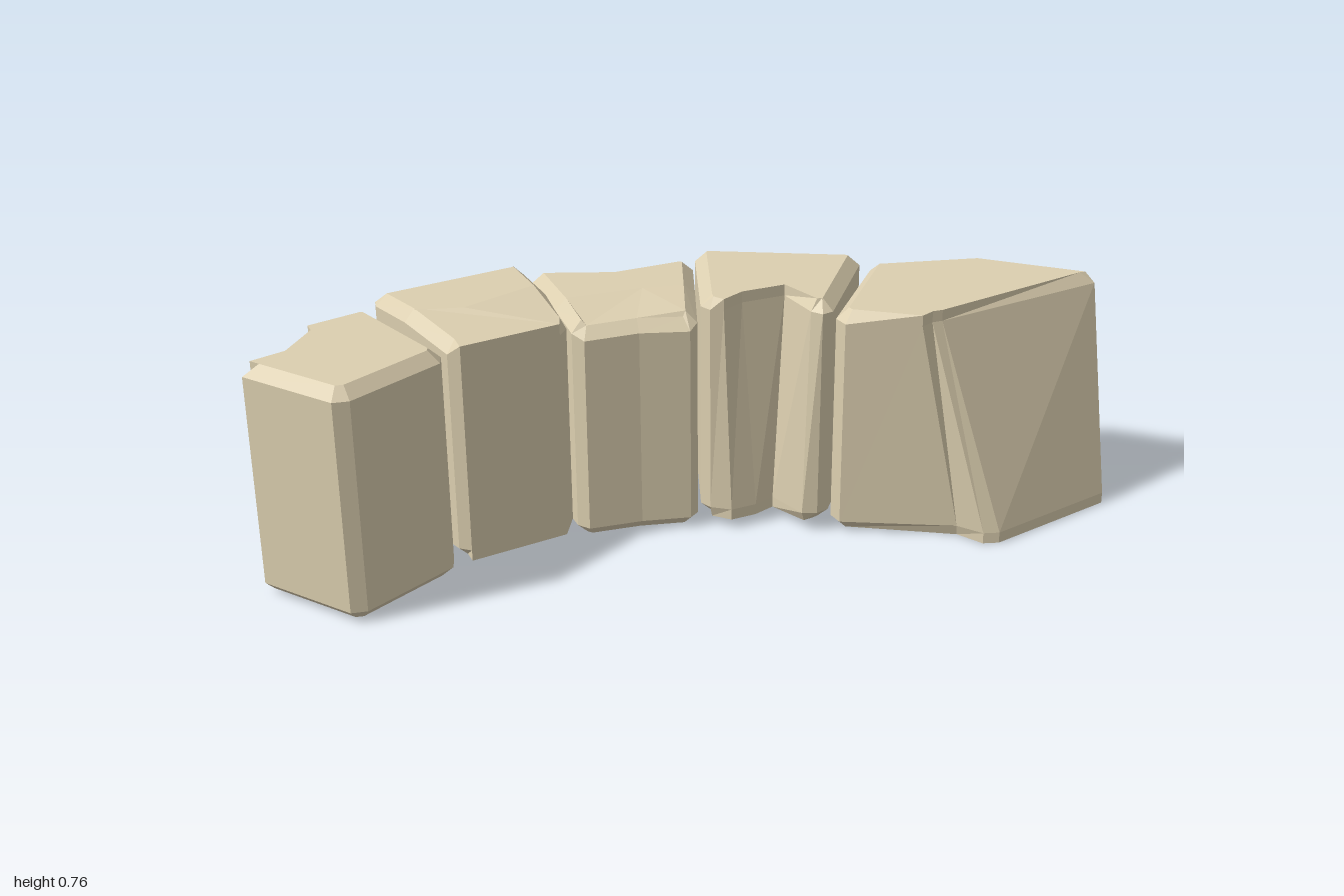
import * as THREE from 'three';

const material = new THREE.MeshStandardMaterial({ color: 0xdccfb0, flatShading: true, side: THREE.DoubleSide });
const BEVEL = 0.035;

// Plan points are [x, z, inset scale = 1, drop of the top = 0], anticlockwise from above.
function ring(outline, y, bevel, useDrop) {
  const n = outline.length;
  const inward = (a, b) => {
    const d = Math.hypot(b[0] - a[0], b[1] - a[1]) || 1;
    return [(b[1] - a[1]) / d, -(b[0] - a[0]) / d];
  };
  return outline.map((p, i) => {
    const [x, z, scale = 1, drop = 0] = p;
    const a = inward(outline[(i + n - 1) % n], p);
    const b = inward(p, outline[(i + 1) % n]);
    const m = bevel * scale / Math.max(0.6, 1 + a[0] * b[0] + a[1] * b[1]);
    return new THREE.Vector3(x + m * (a[0] + b[0]), y - (useDrop ? drop : 0), z + m * (a[1] + b[1]));
  });
}

// Bevelled stone lofted between a bottom and a top plan. A ridge [from, to, points]
// splits the top into a level part and a worn part.
function stone(name, y0, y1, bottom, top = bottom, ridge = null) {
  const rings = [
    ring(bottom, y0, BEVEL), ring(bottom, y0 + BEVEL, 0),
    ring(top, y1 - BEVEL, 0, true), ring(top, y1, BEVEL, true),
  ];
  const verts = [];
  const tri = (...points) => points.forEach((p) => verts.push(p.x, p.y, p.z));
  const cap = (points, up) => {
    const flat = points.map((p) => new THREE.Vector2(p.x, -p.z));
    THREE.ShapeUtils.triangulateShape(flat, []).forEach(([a, b, c]) => {
      const area = THREE.ShapeUtils.area([flat[a], flat[b], flat[c]]);
      if ((area > 0) === up) tri(points[a], points[b], points[c]);
      else tri(points[a], points[c], points[b]);
    });
  };
  for (let r = 0; r < 3; r++) {
    for (let i = 0; i < bottom.length; i++) {
      const j = (i + 1) % bottom.length;
      tri(rings[r][i], rings[r][j], rings[r + 1][j]);
      tri(rings[r][i], rings[r + 1][j], rings[r + 1][i]);
    }
  }
  cap(rings[0], false);
  if (ridge) {
    const [from, to, points] = ridge;
    const line = points.map(([x, z]) => new THREE.Vector3(x, y1, z));
    cap([...rings[3].slice(from, to + 1), ...line.slice().reverse()], true);
    cap([...rings[3].slice(to), ...rings[3].slice(0, from + 1), ...line], true);
  } else cap(rings[3], true);
  const geometry = new THREE.BufferGeometry();
  geometry.setAttribute('position', new THREE.Float32BufferAttribute(verts, 3));
  geometry.computeVertexNormals();
  const mesh = new THREE.Mesh(geometry, material);
  mesh.name = name;
  return mesh;
}

export function createModel() {
  const group = new THREE.Group();
  group.name = 'curvedStoneWall';

  // front end, with a broken outer side
  group.add(stone('frontEndStone', 0, 0.73, [
    [-0.92, 1, 1], [-0.595, 1], [-0.56, 0.965], [-0.51, 0.64], [-0.535, 0.605],
    [-0.89, 0.49], [-0.925, 0.51], [-0.955, 0.69, 0], [-0.925, 0.71, 0], [-0.885, 0.86, 0], [-0.92, 0.965, 0],
  ]));

  // second stone, with its top chipped toward the inner side
  group.add(stone('chippedTopStone', 0.035, 0.765, [
    [-0.905, 0.45], [-0.88, 0.475], [-0.73, 0.525], [-0.525, 0.59, 1, 0.03], [-0.485, 0.58, 0, 0.035],
    [-0.34, 0.3, 0, 0.035], [-0.345, 0.26, 0.5, 0.03], [-0.51, 0.135], [-0.66, 0.04], [-0.69, 0.03],
  ], undefined, [2, 7, [[-0.71, 0.5], [-0.6, 0.41], [-0.64, 0.25]]]));

  // third stone, worn hollow along the inner edge
  group.add(stone('wornStone', 0, 0.73, [
    [-0.655, -0.02], [-0.65, 0.015], [-0.46, 0.155], [-0.345, 0.235, 1, 0.02], [-0.3, 0.235, 1, 0.035],
    [-0.19, 0.11, 1, 0.03], [-0.075, 0.01, 1, 0.035], [-0.075, -0.03, 1, 0.02], [-0.17, -0.17],
    [-0.285, -0.34], [-0.33, -0.345], [-0.46, -0.15],
  ], undefined, [2, 8, [[-0.4, 0.03], [-0.29, -0.06]]]));

  // fourth stone, with a notch in the inner face that shifts toward the foot
  const outer = [[0.175, -0.585], [0.14, -0.6], [-0.28, -0.385], [-0.28, -0.345]];
  group.add(stone('notchedStone', 0.03, 0.76, [
    ...outer, [-0.07, -0.04], [-0.03, -0.03, 0.3], [0.035, -0.05, 0], [0.08, -0.12, 0],
    [0.1, -0.19, 0], [0.23, -0.145, 0.5], [0.27, -0.17], [0.285, -0.21],
  ], [
    ...outer, [-0.07, -0.04], [-0.03, -0.03, 0.6], [0.005, -0.05, 0], [0.02, -0.13, 0],
    [0.1, -0.245, 0], [0.23, -0.175, 0.7], [0.27, -0.175], [0.285, -0.21],
  ]));

  // large back end, with slanted broken facets
  group.add(stone('backEndStone', 0, 0.73, [
    [0.285, -0.23], [0.33, -0.205], [0.65, -0.37, 0.3], [0.74, -0.37, 0], [0.78, -0.4, 0],
    [0.95, -0.81, 0], [0.71, -1, 0], [0.46, -0.84], [0.19, -0.63],
  ], [
    [0.285, -0.23], [0.33, -0.205], [0.53, -0.31, 0], [0.54, -0.355, 0], [0.56, -0.38, 0],
    [0.83, -0.9, 0.8], [0.8, -0.9, 0.3], [0.46, -0.84, 0.6], [0.19, -0.63],
  ]));

  return group;
}
